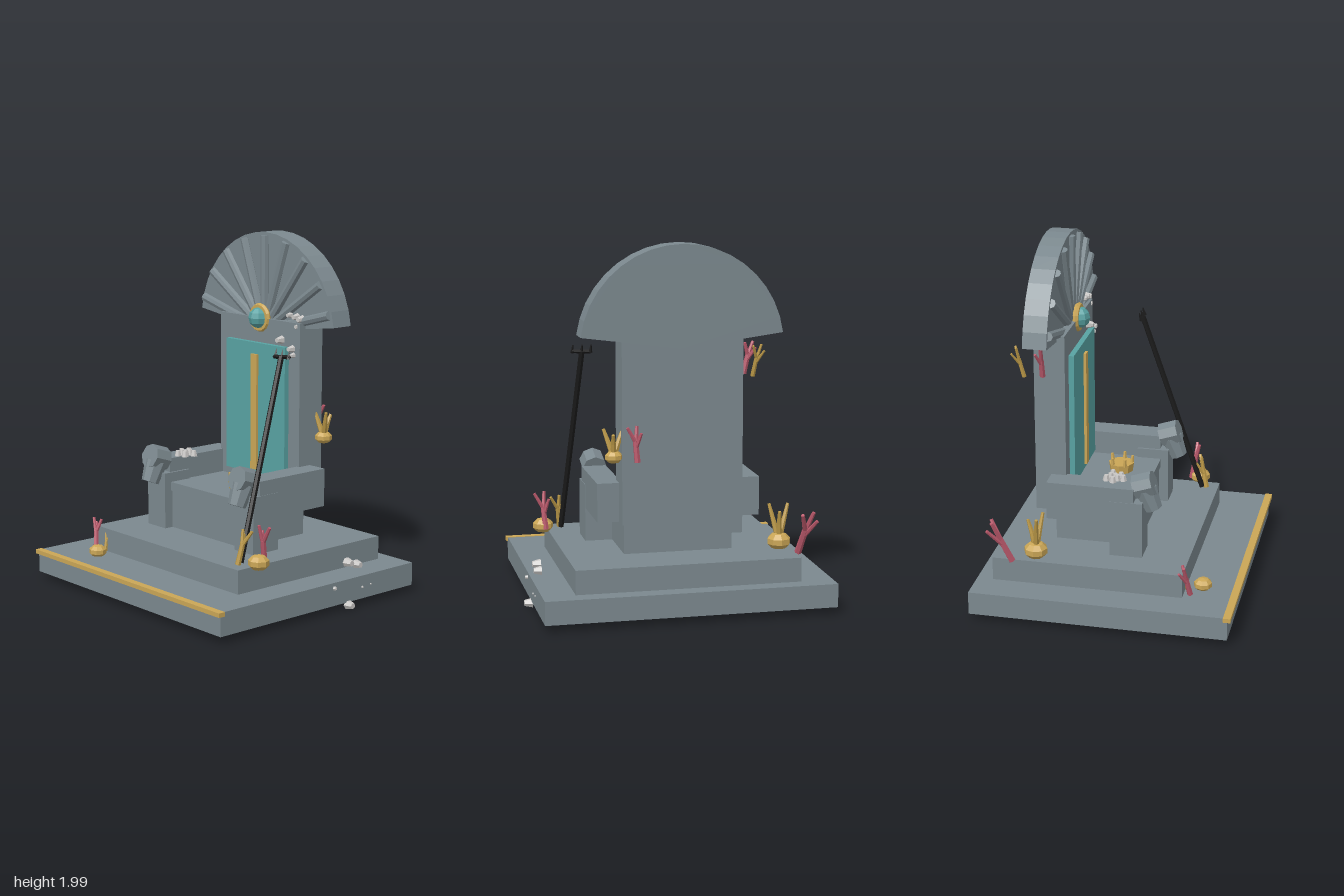
import * as THREE from 'three';

const CX = -0.012; // centre line of the throne

export function createModel() {
  const root = new THREE.Group();
  root.name = 'throne';
  const mat = (name, color) => {
    const m = new THREE.MeshStandardMaterial({ color });
    m.name = name;
    return m;
  };
  const stone = mat('stone', 0x7b888e), gold = mat('gold', 0xcaa656), teal = mat('teal', 0x58a2a2);
  const coralRed = mat('coral red', 0xb9586a), iron = mat('black iron', 0x1b1b1b);
  const shell = mat('shell white', 0xc8c6c4), ochre = mat('ochre', 0xbd9a48);

  // faceted mesh
  const add = (name, geo, material, parent = root) => {
    const g = geo.index ? geo.toNonIndexed() : geo;
    g.computeVertexNormals();
    const m = new THREE.Mesh(g, material);
    m.name = name;
    parent.add(m);
    return m;
  };
  // box from its limits
  const box = (name, material, x0, x1, y0, y1, z0, z1) => {
    const m = add(name, new THREE.BoxGeometry(x1 - x0, y1 - y0, z1 - z0), material);
    m.position.set((x0 + x1) / 2, (y0 + y1) / 2, (z0 + z1) / 2);
    return m;
  };
  // tapered rod between two points
  const up = new THREE.Vector3(0, 1, 0);
  const rod = (name, material, a, b, r0, r1, sides = 6, parent = root) => {
    const A = new THREE.Vector3(...a), B = new THREE.Vector3(...b);
    const d = B.clone().sub(A);
    const m = add(name, new THREE.CylinderGeometry(r1, r0, d.length(), sides), material, parent);
    m.position.copy(A).add(B).multiplyScalar(0.5);
    m.quaternion.setFromUnitVectors(up, d.normalize());
    return m;
  };

  // stepped plinth
  box('lowerStep', stone, -0.813, 0.787, 0.045, 0.175, -0.722, 0.705);
  box('upperStep', stone, -0.632, 0.608, 0.175, 0.308, -0.632, 0.428);
  box('goldEdge', gold, -0.82, 0.797, 0.154, 0.178, 0.682, 0.723);

  // seat and back
  box('seatBlock', stone, -0.315, 0.29, 0.308, 0.525, -0.347, 0.118);
  box('seatSlab', stone, -0.327, 0.302, 0.525, 0.575, -0.30, 0.128);
  box('backrest', stone, -0.345, 0.32, 0.495, 1.52, -0.453, -0.28);
  box('backPanel', teal, -0.26, 0.232, 0.622, 1.38, -0.285, -0.25);
  box('panelStrip', gold, -0.037, 0.012, 0.648, 1.315, -0.255, -0.235);

  // arms with carved ends
  for (const s of [-1, 1]) {
    const x = (a) => CX + s * a;
    const span = (a, b) => [Math.min(x(a), x(b)), Math.max(x(a), x(b))];
    box('armrest', stone, ...span(0.314, 0.452), 0.495, 0.71, -0.364, 0.122);
    box('armPost', stone, ...span(0.3, 0.455), 0.308, 0.63, -0.01, 0.172);
    const c = x(0.375);
    rod('armHead', stone, [c, 0.695, 0.118], [c, 0.73, 0.222], 0.07, 0.07, 8);
    rod('armSnout', stone, [c, 0.69, 0.175], [c, 0.577, 0.222], 0.066, 0.05, 8);
  }

  // fan crest
  const fanY = 1.443, R = 0.557, a0 = 0.132;
  const fan = new THREE.Shape();
  fan.moveTo(0, 0);
  for (let i = 0; i <= 18; i++) {
    const a = a0 + (Math.PI - 2 * a0) * i / 18;
    fan.lineTo(R * Math.cos(a), R * Math.sin(a));
  }
  fan.closePath();
  add('fanCrest', new THREE.ExtrudeGeometry(fan, { depth: 0.132, bevelEnabled: false }), stone)
    .position.set(CX, fanY, -0.455);
  for (let i = 0; i < 9; i++) {
    const a = THREE.MathUtils.degToRad(15 + 18.75 * i), c = Math.cos(a), s = Math.sin(a);
    rod('fanRib', stone, [CX + 0.1 * c, fanY + 0.1 * s, -0.32], [CX + 0.54 * c, fanY + 0.54 * s, -0.32], 0.026, 0.026, 8);
  }
  add('crestRing', new THREE.TorusGeometry(0.066, 0.017, 6, 16), gold).position.set(CX, 1.52, -0.283);
  add('crestOrb', new THREE.SphereGeometry(0.06, 8, 6), teal).position.set(CX, 1.52, -0.275);

  // trident leaning on the step
  rod('tridentShaft', iron, [0.525, 0.315, 0.335], [0.456, 1.385, -0.015], 0.016, 0.016, 6);
  rod('tridentBar', iron, [0.405, 1.378, -0.008], [0.515, 1.386, -0.022], 0.011, 0.011, 4);
  for (const dx of [-0.05, 0, 0.052])
    rod('tridentTine', iron, [0.458 + dx, 1.375, -0.014], [0.456 + dx, 1.42, -0.026], 0.011, 0.003, 4);

  // crown left on the seat
  const crown = new THREE.Group();
  crown.name = 'crown';
  crown.position.set(0.078, 0.578, -0.06);
  root.add(crown);
  add('crownBand', new THREE.CylinderGeometry(0.073, 0.066, 0.05, 8), gold, crown).position.y = 0.027;
  for (let i = 0; i < 5; i++) {
    const a = i * Math.PI * 0.4 + 0.1, c = Math.cos(a), s = Math.sin(a);
    rod('crownPoint', gold, [0.06 * c, 0.045, 0.06 * s], [0.064 * c, 0.09, 0.064 * s], 0.013, 0.008, 5, crown);
  }

  // branching coral: trunk to a fork, then three twigs
  const coral = (material, base, tip, r = 0.014) => {
    const g = new THREE.Group();
    g.name = 'coral';
    root.add(g);
    const P = (t, dx = 0, dz = 0) => [
      base[0] + (tip[0] - base[0]) * t + dx,
      base[1] + (tip[1] - base[1]) * t,
      base[2] + (tip[2] - base[2]) * t + dz];
    const h = tip[1] - base[1];
    rod('coralTrunk', material, P(0), P(0.6), r * 1.15, r, 6, g);
    rod('coralTwig', material, P(0.5), P(1, -0.08 * h, 0.04 * h), r * 0.9, r * 0.6, 6, g);
    rod('coralTwig', material, P(0.56), P(0.97, 0.2 * h, -0.06 * h), r * 0.85, r * 0.6, 6, g);
    rod('coralTwig', material, P(0.4), P(0.82, -0.16 * h, -0.14 * h), r * 0.8, r * 0.55, 6, g);
  };
  coral(coralRed, [-0.645, 0.308, -0.515], [-0.685, 0.55, -0.62], 0.017);
  coral(coralRed, [-0.585, 0.178, 0.465], [-0.625, 0.355, 0.43]);
  coral(coralRed, [0.625, 0.32, 0.255], [0.645, 0.535, 0.29], 0.015);
  coral(coralRed, [0.245, 0.845, -0.495], [0.26, 1.04, -0.48], 0.015);
  coral(coralRed, [-0.36, 1.29, -0.40], [-0.40, 1.465, -0.40]);
  coral(ochre, [-0.385, 1.29, -0.495], [-0.41, 1.465, -0.535], 0.011);
  coral(ochre, [0.53, 0.31, 0.36], [0.55, 0.5, 0.32]);
  coral(ochre, [-0.53, 0.178, 0.44], [-0.535, 0.28, 0.42], 0.01);

  // squat anemones, some with arms
  const anemone = (x, y, z, r, armHeight) => {
    add('anemoneBody', new THREE.SphereGeometry(r, 8, 5).scale(1, 0.72, 1), gold).position.set(x, y, z);
    if (!armHeight) return;
    for (const [dx, dz, k] of [[-0.055, 0.02, 1], [0.05, 0.03, 1], [0.01, -0.045, 0.85]]) {
      const e = [x + dx * 0.5, y + armHeight * 0.5, z + dz * 0.5];
      rod('anemoneArm', ochre, [x, y, z], e, 0.018, 0.014, 6);
      rod('anemoneArm', ochre, e, [x + dx, y + armHeight * k, z + dz], 0.014, 0.009, 6);
    }
  };
  anemone(-0.57, 0.35, -0.4, 0.068, 0.205);
  anemone(0.635, 0.335, 0.305, 0.061, 0);
  anemone(0.362, 0.868, -0.43, 0.05, 0.15);
  anemone(-0.495, 0.2, 0.52, 0.052, 0);

  // barnacles: [x, y, z, size, tilt direction]
  const barnacles = [
    [0.175, 1.415, -0.26, 0.025, 'z'], [0.265, 1.375, -0.26, 0.022, 'z'], [0.275, 1.34, -0.265, 0.016, 'z'],
    [0.21, 1.555, -0.3, 0.018, 'z'], [0.262, 1.55, -0.3, 0.022, 'z'], [0.3, 1.54, -0.3, 0.024, 'z'],
    [0.29, 1.5, -0.29, 0.02, 'z'],
    [0.758, 0.255, -0.25, 0.028, 'x'], [0.762, 0.235, -0.315, 0.026, 'x'], [0.8, 0.03, -0.22, 0.028, 'x'],
    [0.79, 0.145, -0.11, 0.014, 'x'], [0.785, 0.11, -0.325, 0.01, 'x'], [0.785, 0.115, -0.39, 0.007, 'x'],
  ];
  for (let i = 0; i < 8; i++) {
    const a = i * 2.4, d = 0.023 * Math.sqrt(i);
    barnacles.push([-0.335 + d * Math.cos(a), 0.725, -0.003 + d * Math.sin(a) * 0.85, 0.021, 'y']);
  }
  for (const [x, y, z, r, dir] of barnacles) {
    const m = add('barnacle', new THREE.CylinderGeometry(r * 0.6, r, r * 1.6, 6), shell);
    m.position.set(x, y, z);
    if (dir === 'z') m.rotation.x = Math.PI / 2;
    if (dir === 'x') m.rotation.z = -Math.PI / 2;
  }
  return root;
}
